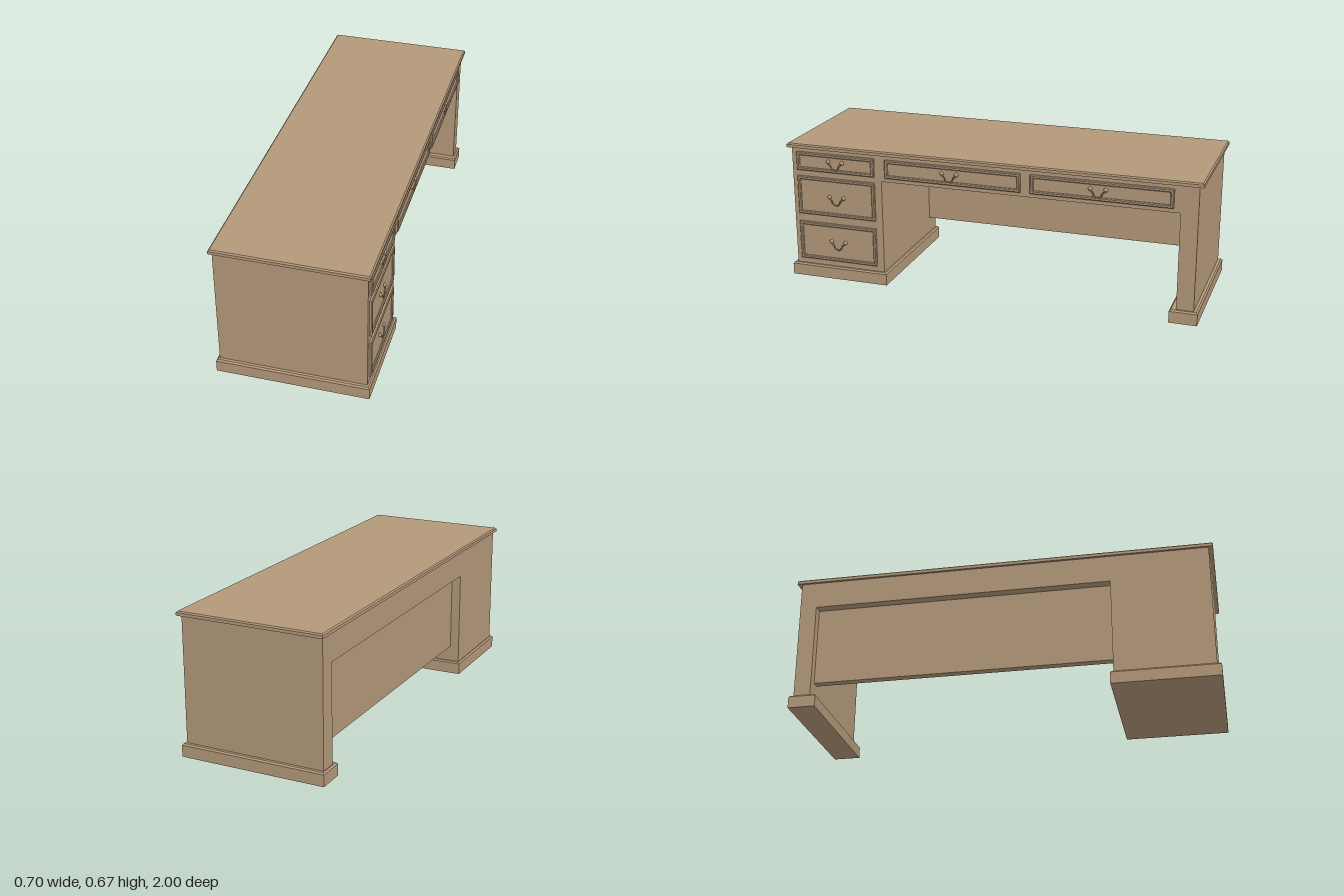
import * as THREE from 'three';

const wood = new THREE.MeshStandardMaterial({ color: 0xb3987a });

export function createModel() {
  const desk = new THREE.Group();
  desk.name = 'desk';

  const add = (parent, name, geometry) => {
    const mesh = new THREE.Mesh(geometry, wood);
    mesh.name = name;
    parent.add(mesh);
    return mesh;
  };

  // Plain block given by its limits
  const block = (parent, name, [x0, x1], [y0, y1], [z0, z1]) => {
    const mesh = add(parent, name, new THREE.BoxGeometry(x1 - x0, y1 - y0, z1 - z0));
    mesh.position.set((x0 + x1) / 2, (y0 + y1) / 2, (z0 + z1) / 2);
    return mesh;
  };

  // Block whose upper edges are chamfered by c
  const chamferedBlock = (name, [x0, x1], [y0, y1], [z0, z1], c) => {
    const w = x1 - x0, h = y1 - y0, d = z1 - z0;
    const g = new THREE.BoxGeometry(w, h, d, 1, 2, 1).toNonIndexed();
    const p = g.attributes.position;
    for (let i = 0; i < p.count; i++) {
      const y = p.getY(i);
      if (y > h / 4) {
        p.setX(i, Math.sign(p.getX(i)) * (w / 2 - c));
        p.setZ(i, Math.sign(p.getZ(i)) * (d / 2 - c));
      } else if (y > -h / 4) p.setY(i, h / 2 - c);
    }
    g.computeVertexNormals();
    add(desk, name, g).position.set((x0 + x1) / 2, (y0 + y1) / 2, (z0 + z1) / 2);
  };

  const depth = [-0.34, 0.335], full = [-0.351, 0.35];

  // Worktop, carcass and plinths
  chamferedBlock('worktop', full, [0.65, 0.67], [-1, 1], 0.006);
  block(desk, 'drawerPedestal', depth, [0.06, 0.65], [0.52, 0.98]);
  block(desk, 'endPanel', depth, [0.06, 0.65], [-0.98, -0.9]);
  block(desk, 'apron', depth, [0.52, 0.65], [-0.9, 0.52]);
  block(desk, 'modestyPanel', [-0.295, -0.257], [0.14, 0.52], [-0.9, 0.52]);
  chamferedBlock('pedestalPlinth', full, [0, 0.062], [0.505, 1], 0.007);
  chamferedBlock('endPlinth', full, [0, 0.062], [-1, -0.87], 0.007);

  // Closed rectangle centred on the origin
  const rectangle = (Type, w, h) => new Type([
    new THREE.Vector2(-w / 2, -h / 2), new THREE.Vector2(w / 2, -h / 2),
    new THREE.Vector2(w / 2, h / 2), new THREE.Vector2(-w / 2, h / 2),
  ]);

  // Swan-neck pull: two rosettes and a drooping bail
  const bailPoints = [
    [-0.036, 0, 0.003], [-0.032, -0.009, 0.006], [-0.023, -0.014, 0.007],
    [-0.018, -0.027, 0.007], [-0.009, -0.036, 0.007], [0, -0.038, 0.007],
  ];
  const mirrored = bailPoints.slice(0, -1).reverse().map(([x, y, z]) => [-x, y, z]);
  const bailCurve = new THREE.CatmullRomCurve3(
    [...bailPoints, ...mirrored].map((p) => new THREE.Vector3(...p)));
  const bailGeometry = new THREE.TubeGeometry(bailCurve, 40, 0.0032, 8);
  const rosetteGeometry = new THREE.LatheGeometry(
    [[0.01, 0], [0.01, 0.003], [0.007, 0.006], [0.004, 0.009], [0, 0.01]]
      .map(([r, y]) => new THREE.Vector2(r, y)), 16).rotateX(Math.PI / 2);

  const addHandle = (drawer, offset, y) => {
    const handle = new THREE.Group();
    handle.name = 'drawerHandle';
    handle.position.set(offset, y, 0.004);
    for (const side of [-1, 1]) add(handle, 'handleRosette', rosetteGeometry).position.x = side * 0.036;
    add(handle, 'handleBail', bailGeometry).position.z = 0.001;
    drawer.add(handle);
  };

  // Drawer front: bevelled raised frame around a flat field
  const addDrawer = ([z0, z1], [y0, y1], handleZ, handleY) => {
    const drawer = new THREE.Group();
    drawer.name = 'drawer';
    const w = z1 - z0, h = y1 - y0, bevel = 0.004, rim = 0.016;
    const shape = rectangle(THREE.Shape, w - 2 * bevel, h - 2 * bevel);
    shape.holes.push(rectangle(THREE.Path, w - 2 * rim + 2 * bevel, h - 2 * rim + 2 * bevel));
    const frame = new THREE.ExtrudeGeometry(shape, {
      depth: 0.008, bevelSize: bevel, bevelThickness: bevel, bevelSegments: 1,
    });
    add(drawer, 'drawerFrame', frame);
    block(drawer, 'drawerField', [-w / 2 + rim / 2, w / 2 - rim / 2],
      [-h / 2 + rim / 2, h / 2 - rim / 2], [-0.002, 0.004]);
    // Local +x runs towards world -z once the front faces +x
    const zc = (z0 + z1) / 2, yc = (y0 + y1) / 2;
    addHandle(drawer, zc - handleZ, handleY - yc);
    drawer.rotation.y = Math.PI / 2;
    drawer.position.set(0.335, yc, zc);
    desk.add(drawer);
  };

  addDrawer([0.555, 0.955], [0.54, 0.63], 0.755, 0.593);
  addDrawer([0.555, 0.955], [0.32, 0.51], 0.755, 0.416);
  addDrawer([0.555, 0.955], [0.09, 0.28], 0.755, 0.189);
  addDrawer([-0.165, 0.5], [0.54, 0.63], 0.178, 0.593);
  addDrawer([-0.87, -0.212], [0.54, 0.63], -0.528, 0.593);

  return desk;
}
